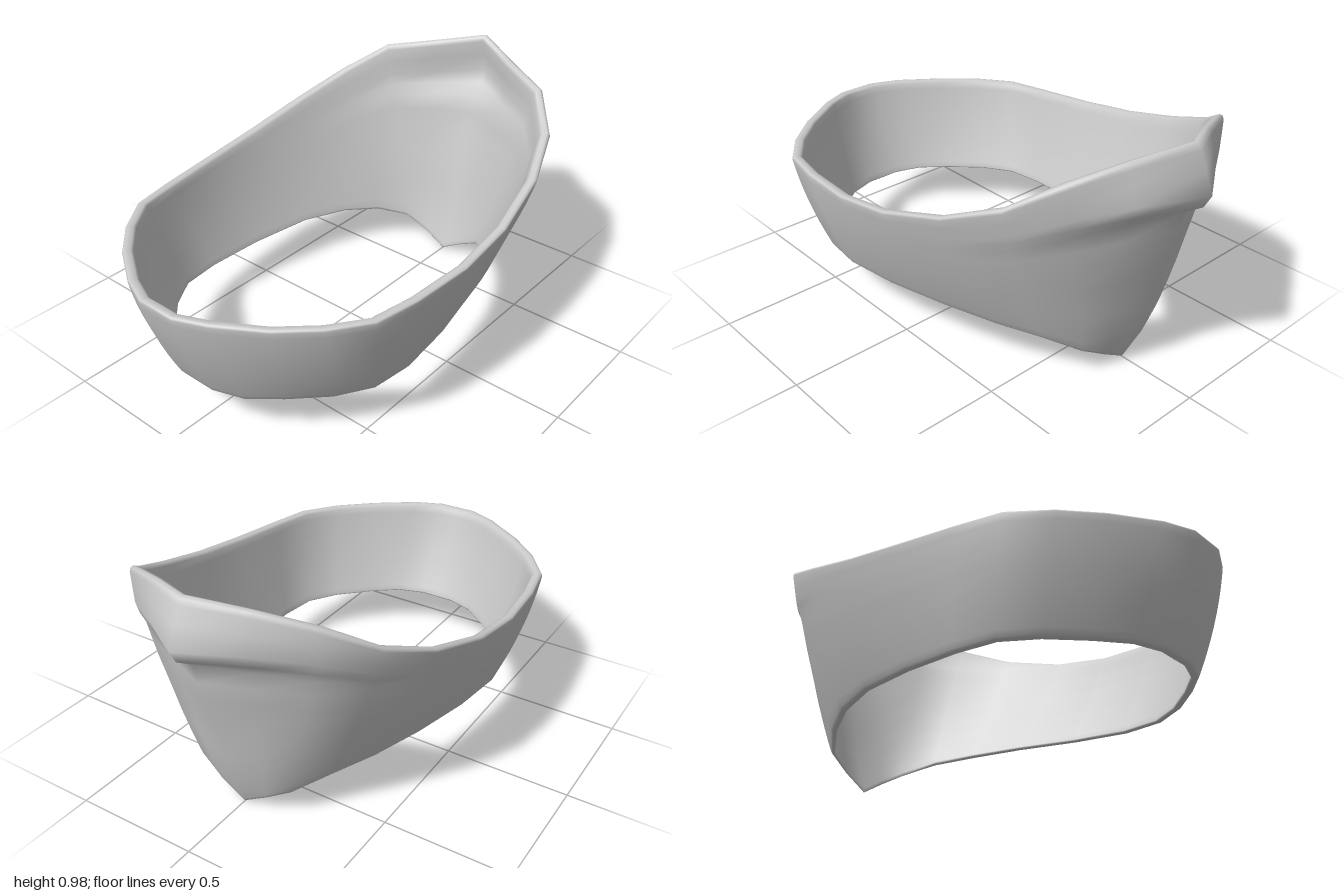
import * as THREE from 'three';

// Half of the band from the back (-x) to the pointed front (+x):
// top edge x, y, z, bottom edge x, y, z, strength of the front lip, wall thickness at the bottom
const HALF = [
  [-1, .585, 0, -.85, .18, 0, 0, .03],
  [-1, .585, .08, -.85, .18, .08, 0, .03],
  [-.95, .585, .2, -.81, .18, .2, 0, .03],
  [-.84, .58, .37, -.72, .18, .31, 0, .03],
  [-.72, .58, .5, -.6, .18, .43, 0, .03],
  [-.58, .58, .6, -.47, .18, .51, 0, .03],
  [-.4, .583, .635, -.3, .18, .53, 0, .03],
  [-.15, .597, .66, -.06, .19, .51, 0, .03],
  [.1, .635, .655, .2, .2, .46, 0, .03],
  [.37, .71, .615, .4, .19, .39, 0, .03],
  [.59, .8, .535, .55, .165, .3, .05, .025],
  [.74, .9, .4, .66, .115, .2, .18, .015],
  [.83, .943, .2, .68, .06, .1, .5, .01],
  [.93, .985, 0, .68, .003, 0, 1, .008],
];

// Outward bulge of the front profile, from the top edge (0) to the bottom edge (1)
const LIP = [[0, 0], [.168, .11], [.22, .095], [.27, .035], [.434, .04], [.587, .025], [.73, .03], [.9, .02], [1, 0]];

function lipAt(t) {
  const i = Math.max(1, LIP.findIndex(p => p[0] >= t));
  const [a, b] = [LIP[i - 1], LIP[i]];
  return THREE.MathUtils.mapLinear(t, a[0], b[0], a[1], b[1]);
}

// Closed wall section: [height fraction, depth into the wall 0..1]
const LEVELS = [.025, .09, .168, .22, .27, .35, .434, .587, .73, .85, .93, .98];
const SECTION = [
  [0, .4], [.007, .12],
  ...LEVELS.map(t => [t, 0]),
  [.995, .15], [1, .5], [.995, .85],
  ...LEVELS.slice().reverse().map(t => [t, 1]),
  [.007, .8],
];

function bandGeometry() {
  // Mirror the half across z = 0 to close the ring
  const mirrored = HALF.slice(1, -1).reverse().map(([a, b, c, d, e, f, k, w]) => [a, b, -c, d, e, -f, k, w]);
  const ring = [...HALF, ...mirrored];
  const n = ring.length, m = SECTION.length;
  const positions = [], indices = [];

  ring.forEach((s, i) => {
    const prev = ring[(i + n - 1) % n], next = ring[(i + 1) % n];
    const top = new THREE.Vector3(s[0], s[1], s[2]);
    const bottom = new THREE.Vector3(s[3], s[4], s[5]);
    // Horizontal direction pointing out of the ring
    const out = new THREE.Vector3(-(next[2] - prev[2]), 0, next[0] - prev[0]).normalize();
    for (const [t, depth] of SECTION) {
      const bulge = s[6] * lipAt(t) + (1 - s[6]) * .06 * t * (1 - t);
      const thickness = THREE.MathUtils.lerp(.04, s[7], t);
      const p = top.clone().lerp(bottom, t);
      p.addScaledVector(out, bulge * (1 - .35 * depth) - thickness * depth);
      positions.push(p.x, p.y, p.z);
    }
    for (let j = 0; j < m; j++) {
      const a = i * m + j, b = i * m + (j + 1) % m;
      const c = ((i + 1) % n) * m + j, d = ((i + 1) % n) * m + (j + 1) % m;
      indices.push(a, b, c, b, d, c);
    }
  });

  const geometry = new THREE.BufferGeometry();
  geometry.setAttribute('position', new THREE.Float32BufferAttribute(positions, 3));
  geometry.setIndex(indices);
  geometry.computeVertexNormals();
  return geometry;
}

export function createModel() {
  const group = new THREE.Group();
  group.name = 'pointedCollar';
  // Thin-walled band with rolled rims and a raised, pointed front
  const band = new THREE.Mesh(bandGeometry(), new THREE.MeshStandardMaterial({ color: 0xcccccc }));
  band.name = 'band';
  group.add(band);
  return group;
}
